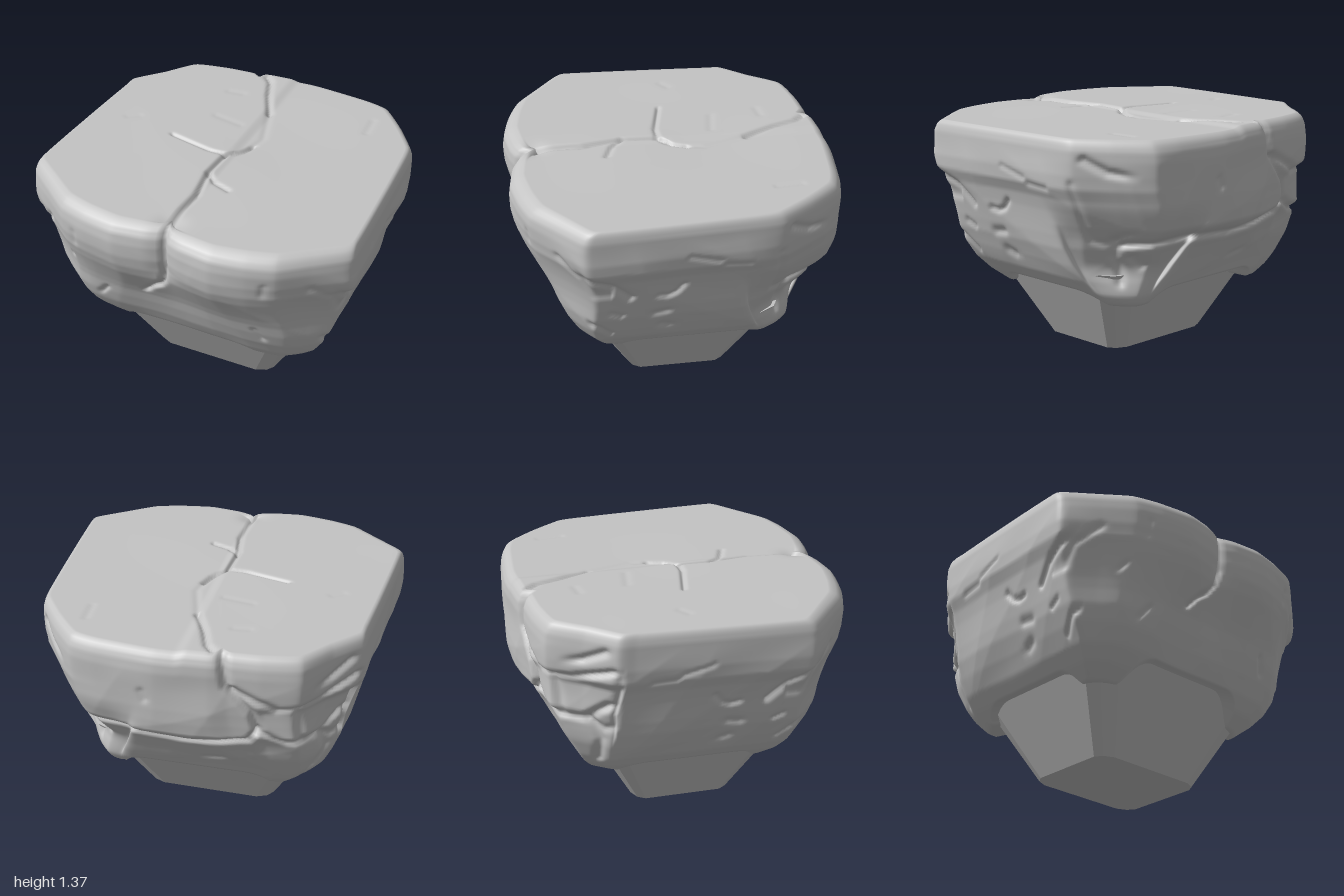
import * as THREE from 'three';

const TOP = 1.365, N = 440, SIDE = 70, CAP = 64;
const { lerp, smoothstep, clamp } = THREE.MathUtils;

// Plan outline of the boulder, from the front round through +x (fractions of its extents)
const OUTLINE = [[0, 0.965], [0.13, 0.98], [0.3, 1], [0.5, 0.965], [0.66, 0.91], [0.82, 0.78], [0.97, 0.655], [1, 0.6],
  [0.99, 0.3], [0.97, -0.1], [0.95, -0.42], [0.93, -0.54], [0.8, -0.74], [0.65, -0.92], [0.5, -0.965], [0.15, -1],
  [-0.15, -0.98], [-0.27, -0.955], [-0.45, -0.94], [-0.66, -0.89], [-0.8, -0.7], [-0.94, -0.53], [-0.95, -0.42],
  [-0.97, -0.1], [-0.99, 0.3], [-1, 0.6], [-0.97, 0.655], [-0.82, 0.78], [-0.66, 0.91], [-0.5, 0.965], [-0.3, 1], [-0.13, 0.98]];

// Height, half width, front depth, back depth
const PROFILE = [[0.33, 0.585, 0.475, 0.56], [0.36, 0.62, 0.51, 0.62], [0.42, 0.69, 0.585, 0.665], [0.5, 0.76, 0.655, 0.71],
  [0.6, 0.82, 0.715, 0.77], [0.7, 0.87, 0.76, 0.835], [0.78, 0.895, 0.79, 0.895], [0.84, 0.91, 0.82, 0.945],
  [0.92, 0.93, 0.865, 0.955], [1, 0.955, 0.91, 0.96], [1.07, 0.992, 0.938, 0.96], [1.15, 1, 0.955, 0.96], [1.24, 1, 0.96, 0.96],
  [1.3, 1, 0.952, 0.952], [1.345, 0.99, 0.92, 0.93], [TOP, 0.975, 0.875, 0.9]];

function extents(y) {
  let k = 1;
  while (k < PROFILE.length - 1 && PROFILE[k][0] < y) k++;
  const a = PROFILE[k - 1], b = PROFILE[k];
  const t = clamp((y - a[0]) / (b[0] - a[0]), 0, 1);
  return [1, 2, 3].map(i => lerp(a[i], b[i], t));
}

// Grooves: depth, width, points. Top uses x,z; front and back use x,y; sides use z,y
const GROOVES = {
  top: [
    [0.025, 0.016, [-0.22, -0.92], [-0.12, -0.8], [-0.07, -0.66], [0.02, -0.47]],
    [0.006, 0.02, [0.02, -0.47], [0.1, -0.2], [0.08, -0.1]],
    [0.025, 0.015, [0.08, -0.1], [0.05, -0.02], [-0.02, 0.06], [-0.03, 0.27], [0.01, 0.5], [0, 0.65], [0, 0.96]],
    [0.025, 0.07, [0, 0.8], [0, 0.96]],
    [0.016, 0.014, [-0.4, 0], [-0.13, 0.06], [-0.02, 0.06]],
    [0.016, 0.014, [-0.03, 0.27], [0.04, 0.34], [0.15, 0.38]],
    [0.004, 0.02, [-0.26, -0.3], [-0.08, -0.27]], [0.004, 0.02, [-0.31, -0.59], [-0.22, -0.6]],
    [0.004, 0.02, [-0.74, -0.06], [-0.68, -0.1]], [0.006, 0.015, [0.62, -0.67], [0.63, -0.52]]],
  front: [
    [0.035, 0.016, [0, 1.4], [0, 1.1], [-0.02, 1.0], [-0.06, 0.94], [-0.12, 0.9], [-0.18, 0.83]],
    [0.025, 0.07, [0, 1.4], [0, 1.1]],
    [0.016, 0.018, [-0.51, 0.66], [-0.46, 0.73]], [0.016, 0.018, [0.49, 0.73], [0.53, 0.65]],
    [0.01, 0.016, [-0.68, 0.9], [-0.66, 0.93]], [0.008, 0.02, [0.59, 1.1], [0.6, 1.17]],
    [0.008, 0.02, [-0.58, 1.1], [-0.58, 1.18]],
    [0.014, 0.022, [0.82, 1.12], [0.92, 1.02], [0.93, 0.9]], [0.014, 0.022, [-0.82, 1.12], [-0.92, 1.02], [-0.93, 0.9]]],
  back: [
    [0.04, 0.022, [-0.22, 1.4], [-0.26, 1.18], [-0.4, 1.02], [-0.45, 0.9], [-0.38, 0.82], [-0.2, 0.78], [0, 0.76],
      [0.3, 0.78], [0.68, 0.74]],
    [0.03, 0.02, [-0.3, 1.16], [-0.55, 1.04], [-0.75, 1.06], [-0.92, 1.14]],
    [0.03, 0.02, [-0.45, 0.88], [-0.6, 0.8], [-0.75, 0.78], [-0.86, 0.9]],
    [0.02, 0.018, [-0.66, 1.04], [-0.68, 0.82]], [0.018, 0.022, [0.55, 0.6], [0.62, 0.66]],
    [0.012, 0.02, [-0.2, 0.6], [-0.1, 0.58]], [0.012, 0.02, [0.2, 1.05], [0.22, 1.1]]],
  side: [
    [0.022, 0.02, [0.74, 1.13], [0.58, 1.03], [0.45, 0.97], [0.35, 0.87]],
    [0.018, 0.017, [0.63, 0.69], [0.53, 0.64], [0.45, 0.56]], [0.015, 0.016, [0.46, 0.75], [0.4, 0.72]],
    [0.018, 0.017, [0.19, 0.87], [0.14, 0.86], [0.09, 0.88], [0.05, 0.93]],
    [0.018, 0.026, [0.21, 0.72], [0.14, 0.73]], [0.018, 0.026, [0.16, 0.61], [0.11, 0.59]],
    [0.01, 0.014, [0.02, 1.15], [-0.15, 1.1]], [0.014, 0.016, [-0.18, 1.07], [-0.32, 1.06]],
    [0.025, 0.022, [-0.57, 1.25], [-0.68, 1.18], [-0.81, 1.15]],
    [0.014, 0.022, [-0.5, 1.1], [-0.52, 0.76], [-0.58, 0.74], [-0.7, 0.8], [-0.86, 0.84]],
    [0.022, 0.025, [-0.64, 0.76], [-0.59, 0.66], [-0.58, 0.5]]],
};

function carve(list, u, v) {
  let depth = 0;
  for (const [d, w, ...pts] of list) {
    let best = Infinity;
    for (let i = 1; i < pts.length; i++) {
      const [ax, ay] = pts[i - 1], dx = pts[i][0] - ax, dy = pts[i][1] - ay;
      const t = clamp(((u - ax) * dx + (v - ay) * dy) / (dx * dx + dy * dy), 0, 1);
      best = Math.min(best, Math.hypot(u - ax - t * dx, v - ay - t * dy));
    }
    depth += d * Math.exp(-((best / w) ** 2));
  }
  return depth;
}

// Broad chiselled unevenness
const chisel = (x, y, z) => 0.009 * (Math.abs(Math.sin(5 * x + 3 * y + 1)) + Math.abs(Math.sin(6 * y - 4 * z + 2 * x))
  + Math.abs(Math.sin(5 * z + 4 * x - 2 * y)) - 1.9);

// The +x slab of the top sits slightly lower
const slabDrop = x => 0.014 * smoothstep(x, -0.03, 0.04);

function sidePoint(ox, oz, t) {
  // Lower edge: arched along each face, dipping at the corners
  const corner = smoothstep(Math.abs(ox * oz), 0.13, 0.52);
  const facing = smoothstep(oz * oz / (ox * ox + oz * oz), 0.35, 0.65);
  const low = lerp(lerp(0.425, oz > 0 ? 0.495 : 0.45, facing), 0.345, corner);
  const y = lerp(low, TOP, t);
  const [hx, zf, zb] = extents(y);
  // Sections turn from bevelled to square towards the plinth, later at the cleft corner
  const cleft = ox > 0 && oz < 0 ? smoothstep(ox * -oz, 0.2, 0.5) : 0;
  const power = lerp(0.42, 1, smoothstep(y, 0.33, lerp(1.1, 0.62, cleft)));
  const x = Math.sign(ox) * Math.abs(ox) ** power * hx;
  const z = Math.sign(oz) * Math.abs(oz) ** power * (oz > 0 ? zf : zb);
  let cut = chisel(x, y, z) * smoothstep(y, 0.4, 0.6) * (1 - smoothstep(y, 1.1, 1.3));
  cut += 0.05 * cleft * smoothstep(y, 0.36, 0.6) * (1 - smoothstep(y, 0.75, 1));
  if (oz > 0.5) cut += carve(GROOVES.front, x, y);
  if (oz < -0.5) {
    cut += carve(GROOVES.back, x, y);
    // Recessed stones beside the big back block
    cut += 0.03 * smoothstep(-x, 0.38, 0.48) * smoothstep(y, 0.6, 0.78) * (1 - smoothstep(y, 1.0, 1.07));
  }
  const flank = smoothstep(Math.abs(ox), oz > 0 ? 0.9 : 0.7, oz > 0 ? 0.98 : 0.8);
  if (flank > 0) cut += flank * carve(GROOVES.side, z, y);
  const k = 1 - cut / Math.hypot(x, z);
  return [x * k, y - slabDrop(x) * smoothstep(y, 1.1, TOP), z * k];
}

function boulder() {
  const curve = new THREE.CatmullRomCurve3(OUTLINE.map(([x, z]) => new THREE.Vector3(x, 0, z)), true, 'catmullrom', 0.25);
  const plan = curve.getSpacedPoints(N).slice(0, N);
  const rows = [];
  for (let j = 0; j <= SIDE; j++) rows.push(plan.map(p => sidePoint(p.x, p.z, j / SIDE)));
  // Underside lip tucked in behind the plinth
  rows.unshift(rows[0].map(([x, y, z]) => [x * 0.85, y + 0.02, z * 0.85]));
  // Top face
  const rim = rows[rows.length - 1];
  for (let j = 1; j <= CAP; j++) {
    const s = Math.max(1 - j / CAP, 0.001);
    rows.push(rim.map(([rx, , rz]) => {
      const x = rx * s, z = rz * s;
      const wave = 0.008 * Math.sin(3 * x + 1) * Math.sin(4 * z) * (1 - s);
      return [x, TOP - slabDrop(x) + wave - carve(GROOVES.top, x, z), z];
    }));
  }
  const index = [];
  for (let j = 0; j < rows.length - 1; j++) for (let i = 0; i < N; i++) {
    const a = j * N + i, b = j * N + (i + 1) % N;
    index.push(a, b, b + N, a, b + N, a + N);
  }
  const g = new THREE.BufferGeometry();
  g.setAttribute('position', new THREE.Float32BufferAttribute(rows.flat(2), 3));
  g.setIndex(index);
  g.computeVertexNormals();
  return g;
}

// Tapered foot with worn corners
function plinth() {
  const quarter = [[1, 0.76], [0.92, 0.91], [0.76, 1]];
  const pts = [[1, 1], [-1, 1], [-1, -1], [1, -1]].flatMap(([sx, sy]) => {
    const q = quarter.map(([x, y]) => new THREE.Vector2(x * sx, y * sy));
    return sx * sy > 0 ? q : q.reverse();
  });
  const g = new THREE.ExtrudeGeometry(new THREE.Shape(pts), { depth: 0.54, bevelEnabled: false });
  g.rotateX(-Math.PI / 2);
  const p = g.attributes.position;
  for (let i = 0; i < p.count; i++) {
    const y = p.getY(i);
    p.setX(i, p.getX(i) * (0.39 + 0.55 * y));
    p.setZ(i, p.getZ(i) * (0.305 + 0.52 * y));
  }
  g.computeVertexNormals();
  return g;
}

export function createModel() {
  const group = new THREE.Group();
  const stone = new THREE.MeshStandardMaterial({ color: 0xc4c4c4 });
  stone.name = 'grey stone';
  for (const [name, geometry] of [['boulder', boulder()], ['plinth', plinth()]]) {
    const mesh = new THREE.Mesh(geometry, stone);
    mesh.name = name;
    group.add(mesh);
  }
  return group;
}
